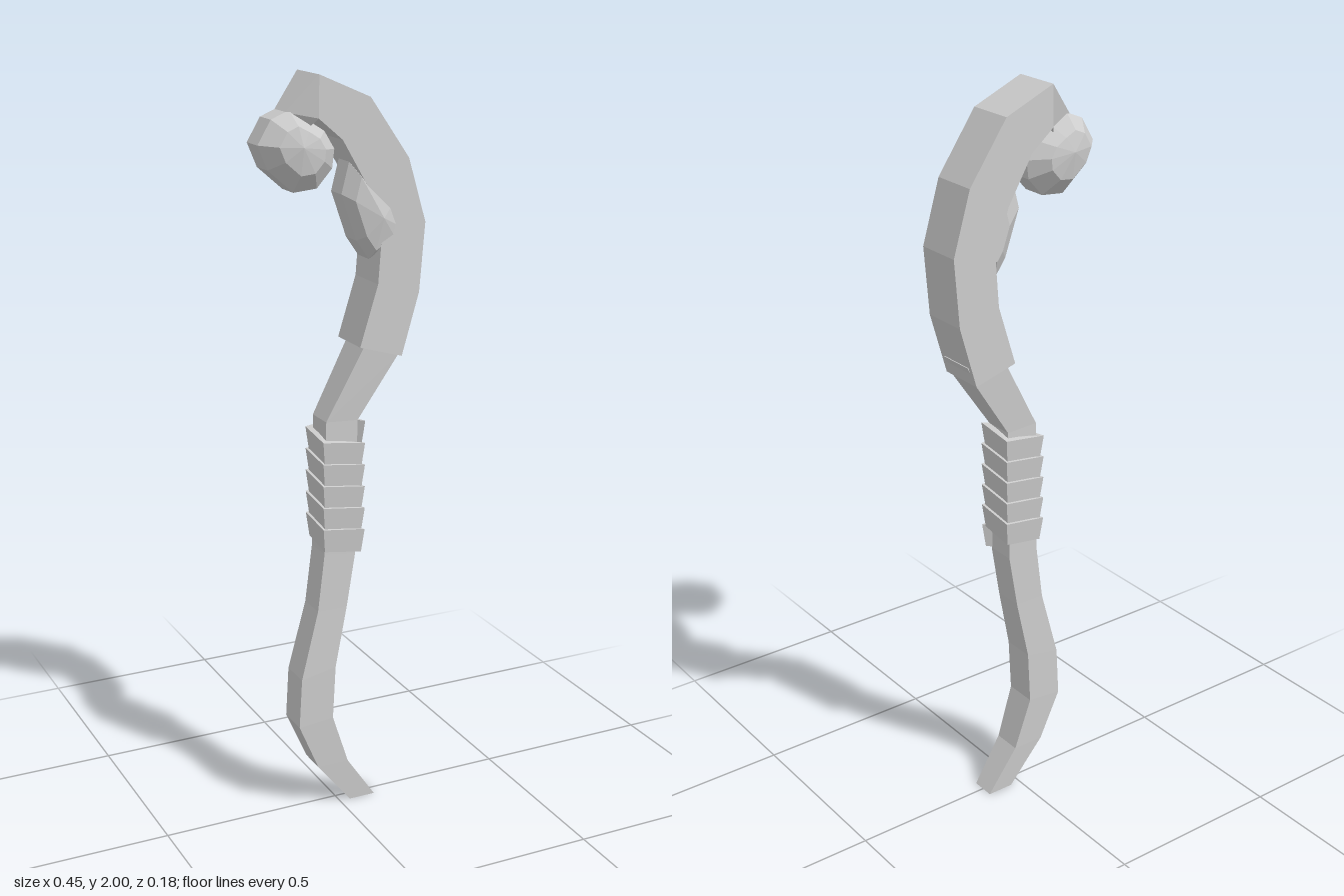
import * as THREE from 'three';
import { ConvexGeometry } from 'three/addons/geometries/ConvexGeometry.js';

const grey = new THREE.MeshStandardMaterial({ color: 0xcccccc });
grey.name = 'plain grey';

// Skins a row of four-cornered sections with flat faces and closed ends
function loft(sections) {
  const pos = [];
  const quad = (a, b, c, d) => pos.push(...a, ...b, ...c, ...a, ...c, ...d);
  for (let i = 0; i < sections.length - 1; i++) {
    const s = sections[i], t = sections[i + 1];
    for (let k = 0; k < 4; k++) {
      const n = (k + 1) % 4;
      quad(s[k], s[n], t[n], t[k]);
    }
  }
  const [a, b, c, d] = sections[0];
  quad(d, c, b, a);
  quad(...sections[sections.length - 1]);
  const geo = new THREE.BufferGeometry();
  geo.setAttribute('position', new THREE.Float32BufferAttribute(pos, 3));
  geo.computeVertexNormals();
  return geo;
}

// Section from its left and right edge in the front plane and its half depth
const bar = ([xl, yl, xr, yr, h]) => [[xl, yl, h], [xr, yr, h], [xr, yr, -h], [xl, yl, -h]];

// Faceted stone: rim outline, smaller rings towards both faces, blunt points
function stone(outline, cx, cy, levels) {
  const pts = [];
  for (const [z, scale] of levels) {
    for (const [x, y] of outline) {
      pts.push(new THREE.Vector3(cx + (x - cx) * scale, cy + (y - cy) * scale, z));
      if (scale === 0) break;
    }
  }
  return new ConvexGeometry(pts);
}

export function createModel() {
  const group = new THREE.Group();
  const add = (name, geo) => {
    const mesh = new THREE.Mesh(geo, grey);
    mesh.name = name;
    group.add(mesh);
  };

  // Curved wooden shaft
  add('shaft', loft([
    [0.03, 0, 0.105, 0, 0.033],
    [-0.07, 0.125, 0.02, 0.125, 0.04],
    [-0.128, 0.26, -0.028, 0.27, 0.045],
    [-0.12, 0.40, -0.02, 0.42, 0.045],
    [-0.07, 0.59, 0.015, 0.59, 0.041],
    [-0.05, 0.75, 0.04, 0.74, 0.04],
    [-0.045, 1.115, 0.045, 1.11, 0.041],
    [0.06, 1.31, 0.155, 1.275, 0.052],
    [0.075, 1.345, 0.177, 1.325, 0.052],
  ].map(bar)));

  // Thick hooked head, narrowing at the tip
  add('hook', loft([
    [0.04, 1.31, 0.16, 1.275, 0.065],
    [0.09, 1.47, 0.208, 1.44, 0.065],
    [0.1, 1.6, 0.223, 1.62, 0.065],
    [0.06, 1.72, 0.174, 1.785, 0.065],
    [-0.01, 1.84, 0.066, 1.94, 0.065],
    [-0.075, 1.895, -0.073, 2, 0.065],
    [-0.1, 1.86, -0.15, 1.91, 0.033],
  ].map(bar)));

  // Grip strap wound five times round the shaft, flared at its upper edge
  const corners = [[1, 1], [1, -1], [-1, -1], [-1, 1]];
  const wrap = [];
  for (let k = 0; k <= 20; k++) {
    const [sx, sz] = corners[k % 4];
    const y = 1.11 - k * 0.015;
    const at = (r, dy) => [sx * r, y + dy, sz * (r - 0.004)];
    wrap.push([at(0.06, 0), at(0.053, -0.065), at(0.038, -0.065), at(0.038, 0)]);
  }
  add('gripWrap', loft(wrap));

  // Round stone held at the tip of the hook
  add('tipStone', stone([
    [-0.224, 1.835], [-0.188, 1.895], [-0.14, 1.915], [-0.092, 1.89], [-0.045, 1.86],
    [-0.018, 1.815], [-0.024, 1.767], [-0.066, 1.72], [-0.13, 1.714], [-0.198, 1.773],
  ], -0.125, 1.83, [[0.033, 1], [0.077, 0.6], [0.089, 0], [-0.033, 1], [-0.077, 0.6], [-0.089, 0]]));

  // Long crystal set into the inside of the hook
  add('innerCrystal', stone([
    [0.003, 1.70], [0.024, 1.78], [0.077, 1.725], [0.135, 1.675],
    [0.16, 1.61], [0.15, 1.57], [0.08, 1.53], [0.045, 1.58],
  ], 0.1, 1.64, [[0.03, 1], [0.063, 0.75], [0.077, 0], [-0.03, 1], [-0.058, 0.5]]));

  return group;
}
